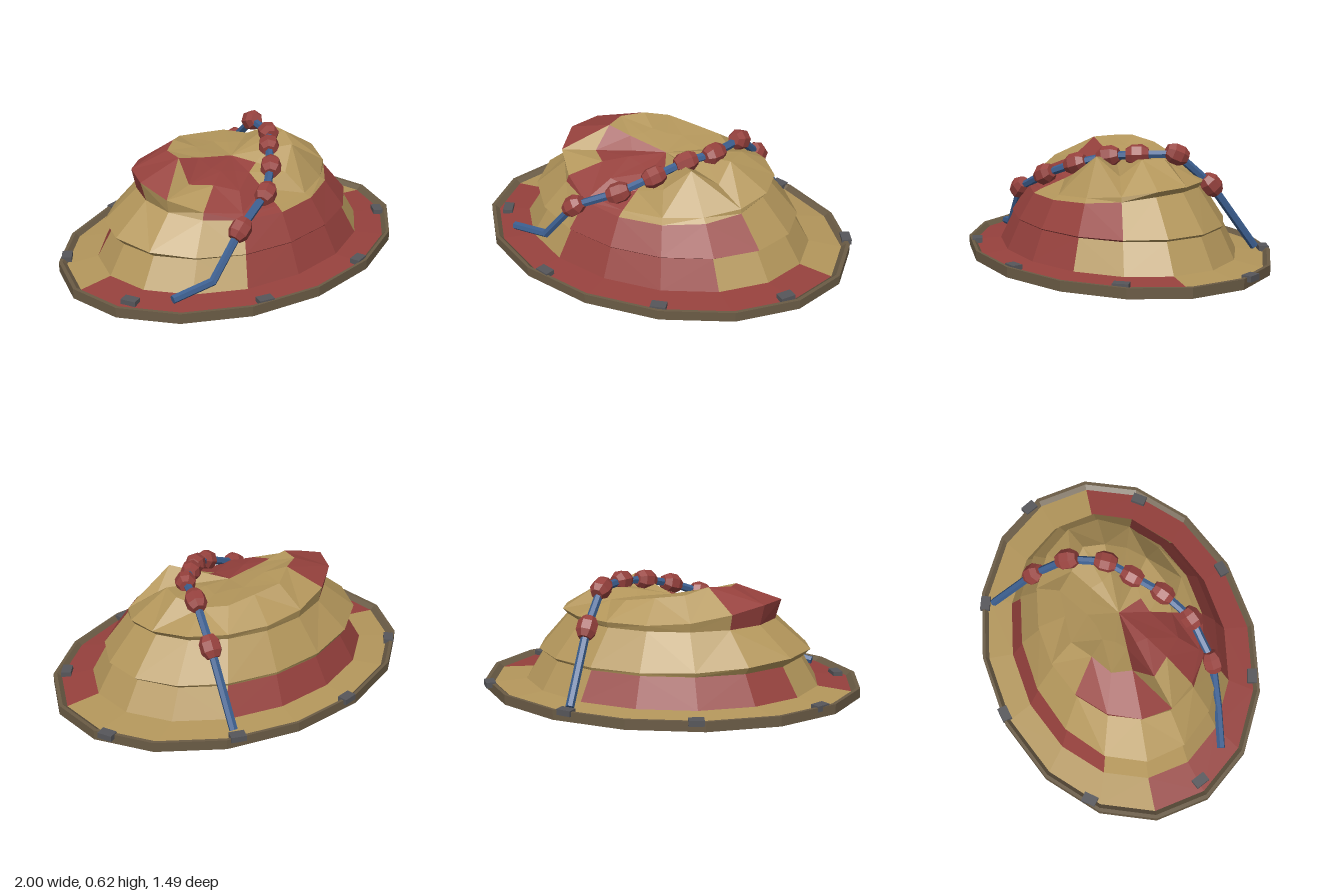
import * as THREE from 'three';

const material = (name, color, extra = {}) => {
  const m = new THREE.MeshStandardMaterial({ color, flatShading: true, ...extra });
  m.name = name;
  return m;
};

// Corners of the sixteen-sided oval, running back, +x, front, -x
const N = 16;
const angle = (k) => THREE.MathUtils.degToRad(-83 + 22.5 * k);
const corner = (k, f = 1) => [1.007 * f * Math.cos(angle(k)), 0.75 * f * Math.sin(angle(k))];

// Heights of the uneven crags around the top
const CRAGS = [0.54, 0.52, 0.5, 0.55, 0.55, 0.47, 0.56, 0.46, 0.41, 0.44, 0.47, 0.47, 0.575, 0.58, 0.59, 0.56];

// Rings from the tray edge inwards: [share of the oval, height], varied by side
const toFront = (k) => Math.max(0, Math.sin(angle(k)));
const toLeft = (k) => Math.max(0, Math.cos(angle(k) - angle(12.6))) ** 3;
const sideways = (k) => Math.cos(angle(k)) ** 2;
const zigzag = (k) => (k % 2 ? 0.015 : -0.015);
const RINGS = [
  () => [1, 0],
  () => [1, 0.052],
  () => [0.98, 0.052],
  () => [0.955, 0.032],
  () => [0.78, 0.05],
  () => [0.69, 0.2],
  (k) => [0.695 + 0.015 * sideways(k) + 0.03 * toLeft(k), 0.215 + 0.035 * toLeft(k) - 0.01 * toFront(k)],
  (k) => [0.55 + 0.04 * toFront(k), 0.4 - 0.06 * toFront(k)],
  (k) => [0.56 + 0.02 * sideways(k) - 0.02 * toFront(k), 0.43 + 0.08 * toLeft(k) - 0.07 * toFront(k)],
  (k) => [0.385 + zigzag(k) - 0.03 * toLeft(k), CRAGS[k]],
  (k) => [0.2 - zigzag(k), 0.255 + CRAGS[k] / 2],
  () => [0, 0.5],
];

function ringPoint(i, k) {
  const [f, y] = RINGS[i](k % N);
  const [x, z] = corner(k, f);
  return [x, y, z];
}

// Strips between neighbouring rings, with red runs as [first segment, count]; half a segment is one triangle
const STRIPS = [
  ['rimOutside'],
  ['rimTop'],
  ['rimInside'],
  ['trayFloor', [[4, 8]]],
  ['lowerLayer', [[6, 3], [13, 4]]],
  ['lowerLedge', [[5, 4]]],
  ['middleLayer', [[5, 4]]],
  ['upperLedge', [[8, 2], [12, 2]]],
  ['upperLayer', [[8, 2], [11, 0.5], [12, 2]]],
  ['crags', [[8, 4]]],
  ['summit', [[7, 5]]],
];

// Surface from a list of triangle corners
function surface(faces) {
  const g = new THREE.BufferGeometry();
  g.setAttribute('position', new THREE.Float32BufferAttribute(faces, 3));
  g.computeVertexNormals();
  return g;
}

export function createModel() {
  const model = new THREE.Group();
  model.name = 'layeredMound';
  const gold = material('sandstone', 0xb3965b, { side: THREE.DoubleSide });
  const red = material('red rock', 0x96413d, { side: THREE.DoubleSide });
  const brown = material('rim brown', 0x6a5b45, { side: THREE.DoubleSide });
  const blue = material('cord blue', 0x3c5f90);
  const grey = material('clip grey', 0x56565a);

  const add = (name, geometry, mat) => {
    const mesh = new THREE.Mesh(geometry, mat);
    mesh.name = name;
    model.add(mesh);
    return mesh;
  };

  // Rim, tray floor and mound, one strip at a time, split by colour
  STRIPS.forEach(([name, runs], i) => {
    const redFaces = [], plainFaces = [];
    const put = (p, ...corners) => {
      const isRed = runs?.some(([first, count]) => (p - first + N) % N < count);
      (isRed ? redFaces : plainFaces).push(...corners.flat());
    };
    for (let k = 0; k < N; k++) {
      const a = ringPoint(i, k), b = ringPoint(i, k + 1);
      const c = ringPoint(i + 1, k + 1), d = ringPoint(i + 1, k);
      if (i === STRIPS.length - 1) {
        put(k, a, c, b);
      } else if (k % 2) {
        put(k, a, c, b);
        put(k + 0.5, a, d, c);
      } else {
        put(k, a, d, b);
        put(k + 0.5, b, d, c);
      }
    }
    add(name, surface(plainFaces), runs ? gold : brown);
    if (runs) add(name + 'Red', surface(redFaces), red);
  });

  // Underside of the tray
  const outline = Array.from({ length: N }, (_, k) => new THREE.Vector2(...corner(k)));
  add('trayUnderside', new THREE.ShapeGeometry(new THREE.Shape(outline)).rotateX(Math.PI / 2), gold);

  // Clips on the rim, turned along the oval
  for (const [x, z] of [
    [-0.22, -0.71], [0.43, -0.65], [0.93, -0.26], [0.8, 0.36],
    [0.25, 0.68], [-0.4, 0.64], [-0.87, 0.19], [-0.8, -0.4],
  ]) {
    const clip = add('rimClip', new THREE.BoxGeometry(0.078, 0.03, 0.052), grey);
    clip.position.set(x, 0.045, z);
    clip.rotation.y = -Math.atan2(x, -z / 0.5625);
  }

  // Cord draped over the mound, as straight six-sided lengths
  const cord = [
    [-0.73, 0.065, 0.35], [-0.52, 0.1, 0.4], [-0.34, 0.325, 0.41], [-0.11, 0.43, 0.36], [0.04, 0.5, 0.25],
    [0.16, 0.545, 0.12], [0.27, 0.56, 0.01], [0.34, 0.56, -0.18], [0.38, 0.395, -0.36], [0.42, 0.06, -0.6],
  ].map((p) => new THREE.Vector3(...p));
  const up = new THREE.Vector3(0, 1, 0);
  for (let i = 0; i < cord.length - 1; i++) {
    const dir = cord[i + 1].clone().sub(cord[i]);
    const piece = add('cordLength', new THREE.CylinderGeometry(0.022, 0.022, dir.length() + 0.015, 6), blue);
    piece.position.copy(cord[i]).addScaledVector(dir, 0.5);
    piece.quaternion.setFromUnitVectors(up, dir.normalize());
  }

  // Faceted barrel beads on the cord
  const profile = [[0, -0.058], [0.034, -0.058], [0.054, -0.025], [0.054, 0.025], [0.034, 0.058], [0, 0.058]]
    .map((p) => new THREE.Vector2(...p));
  const beadGeometry = new THREE.LatheGeometry(profile, 7);
  for (let i = 2; i < cord.length - 1; i++) {
    const bead = add('bead', beadGeometry, red);
    bead.position.copy(cord[i]);
    bead.quaternion.setFromUnitVectors(up, cord[i + 1].clone().sub(cord[i - 1]).normalize());
  }
  return model;
}
